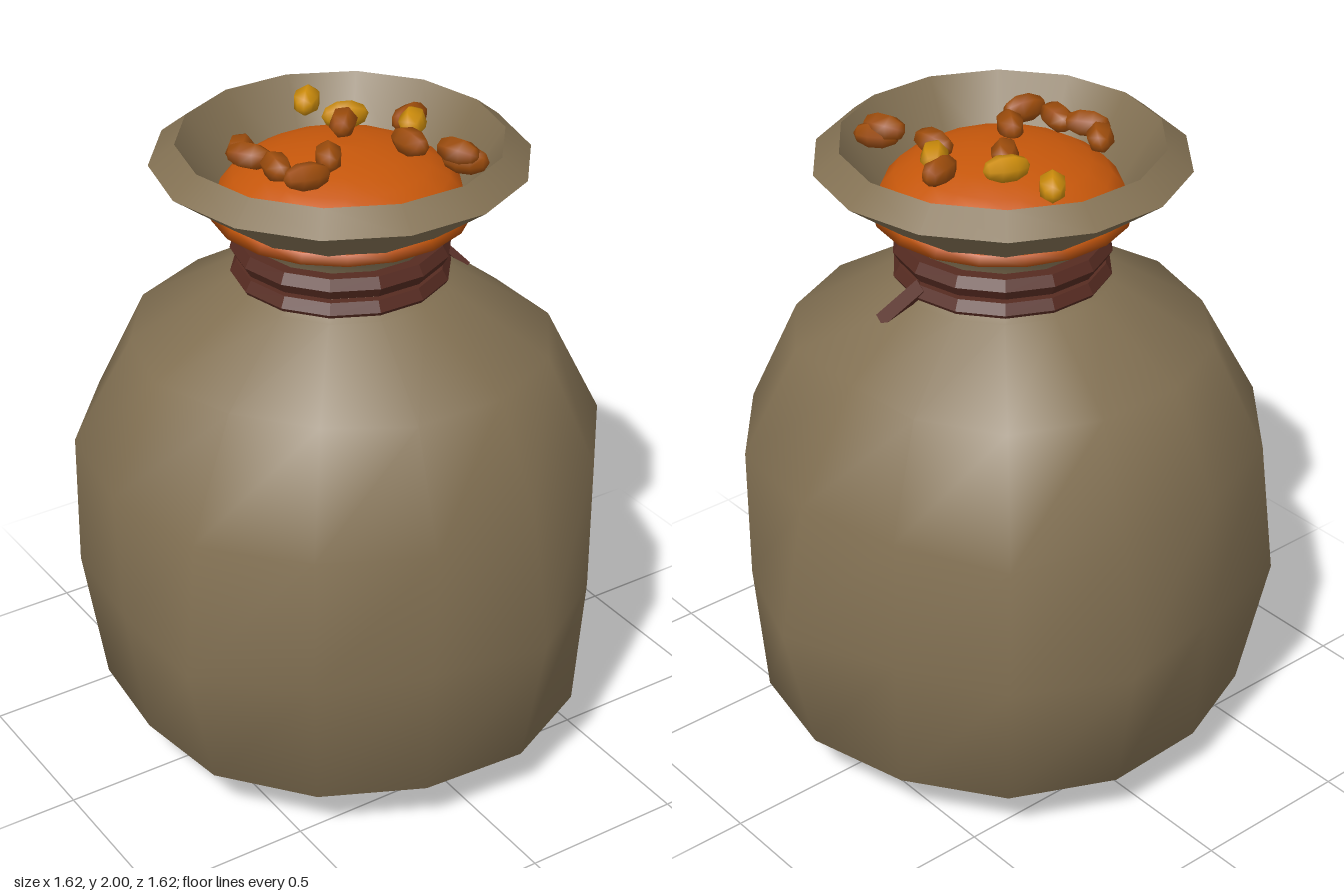
import * as THREE from 'three';

const SIDES = 14;
const AXIS_X = -0.028;

const mat = (name, color, extra = {}) => {
  const m = new THREE.MeshStandardMaterial({ color, ...extra });
  m.name = name;
  return m;
};

// Lumpy smooth sack body: each ring is a height and its radii around the axis
function sackGeometry() {
  const even = (r) => Array(SIDES).fill(r);
  const rings = [
    [0, even(0.507)],
    [0.17, [0.74, 0.75, 0.75, 0.75, 0.73, 0.73, 0.73, 0.7, 0.74, 0.75, 0.73, 0.745, 0.75, 0.73]],
    [0.6, [0.838, 0.785, 0.78, 0.83, 0.765, 0.793, 0.845, 0.765, 0.805, 0.838, 0.76, 0.83, 0.82, 0.75]],
    [1.02, [0.75, 0.785, 0.78, 0.765, 0.78, 0.77, 0.795, 0.782, 0.8, 0.79, 0.755, 0.75, 0.82, 0.74]],
    [1.35, [0.56, 0.62, 0.63, 0.625, 0.62, 0.6, 0.6, 0.63, 0.62, 0.63, 0.62, 0.615, 0.63, 0.6]],
    [1.53, even(0.33)],
    [1.6, even(0.27)],
  ];
  const pos = [], index = [];
  for (const [y, radii] of rings) {
    radii.forEach((r, i) => {
      const a = (i / SIDES) * Math.PI * 2;
      pos.push(Math.cos(a) * r, y, Math.sin(a) * r);
    });
  }
  for (let j = 0; j < rings.length - 1; j++) {
    for (let i = 0; i < SIDES; i++) {
      const n = (i + 1) % SIDES;
      const a = j * SIDES + i, b = j * SIDES + n;
      const c = a + SIDES, d = b + SIDES;
      index.push(a, c, b, b, c, d);
    }
  }
  // closed base
  const centre = pos.length / 3;
  pos.push(0, 0, 0);
  for (let i = 0; i < SIDES; i++) index.push(centre, i, (i + 1) % SIDES);
  const g = new THREE.BufferGeometry();
  g.setAttribute('position', new THREE.Float32BufferAttribute(pos, 3));
  g.setIndex(index);
  g.computeVertexNormals();
  return g;
}

const lathe = (points, sides = SIDES) =>
  new THREE.LatheGeometry(points.map(([x, y]) => new THREE.Vector2(x, y)), sides, Math.PI / 2);

export function createModel() {
  const group = new THREE.Group();
  group.name = 'grainSack';
  const cloth = mat('burlap', 0x837153, { side: THREE.DoubleSide });
  const rope = mat('rope brown', 0x562b21, { flatShading: true });
  const fill = mat('grain orange', 0xc6570b);
  const brown = mat('seed brown', 0x9c4c0c);
  const gold = mat('seed gold', 0xcc8c0c);

  const add = (name, geometry, material, x = 0, y = 0, z = 0) => {
    const m = new THREE.Mesh(geometry, material);
    m.name = name;
    m.position.set(x, y, z);
    group.add(m);
    return m;
  };

  add('sackBody', sackGeometry(), cloth, AXIS_X);

  // Flared mouth: outside, bevelled lip and inside
  add('mouthOutside', lathe([[0.26, 1.55], [0.25, 1.66], [0.36, 1.76], [0.548, 1.9]]), cloth, AXIS_X);
  add('mouthLip', lathe([[0.548, 1.9], [0.472, 1.96]]), cloth, AXIS_X);
  add('mouthInside', lathe([[0.472, 1.96], [0.335, 1.75]]), cloth, AXIS_X);

  // Domed grain filling, its edge showing through the cloth
  const dome = [];
  for (let i = 0; i <= 6; i++) {
    const a = (i / 6) * Math.PI / 2;
    dome.push([Math.max(0.362 * Math.cos(a), 0.0001), 1.765 + 0.168 * Math.sin(a)]);
  }
  add('grainMound', lathe(dome, 18), fill, AXIS_X);
  add('grainEdge', lathe([[0.25, 1.735], [0.38, 1.738], [0.362, 1.765]], 18), fill, AXIS_X);

  // Two turns of rope and a loose end
  for (const y of [1.63, 1.555]) {
    const turn = new THREE.TorusGeometry(0.288, 0.036, 6, SIDES);
    turn.rotateX(Math.PI / 2);
    add('ropeTurn', turn, rope, AXIS_X, y);
  }
  const start = new THREE.Vector3(0.27, 1.58, 0.0);
  const end = new THREE.Vector3(0.365, 1.47, 0.07);
  const dir = end.clone().sub(start);
  const tail = add('ropeTail', new THREE.BoxGeometry(0.022, dir.length(), 0.045), rope);
  tail.position.copy(start).add(end).multiplyScalar(0.5);
  tail.quaternion.setFromUnitVectors(new THREE.Vector3(0, -1, 0), dir.normalize());

  // Seeds: [x, y, z, heading in degrees, gold?]
  const seedShape = new THREE.SphereGeometry(1, 6, 5);
  seedShape.rotateZ(Math.PI / 2);
  seedShape.scale(0.07, 0.042, 0.042);
  const seeds = [
    [0.05, 1.94, -0.305, 50, 1], [0.08, 1.945, -0.145, -20, 1], [0.035, 1.955, -0.085, 50, 0],
    [0.23, 1.943, -0.035, 20, 0], [0.2, 1.957, 0.025, 50, 1], [0.13, 1.946, 0.115, -85, 0],
    [0.19, 1.959, 0.265, -70, 0], [0.205, 1.935, 0.28, -50, 0], [-0.28, 1.93, -0.135, 50, 0],
    [-0.295, 1.942, -0.06, -55, 0], [-0.265, 1.938, 0.035, 80, 0], [-0.23, 1.94, 0.14, -10, 0],
    [-0.115, 1.945, 0.07, 60, 0],
  ];
  seeds.forEach(([x, y, z, deg, isGold], i) => {
    const s = add('seed', seedShape, isGold ? gold : brown, x, y, z);
    s.rotation.set(i * 0.7, THREE.MathUtils.degToRad(deg), 0, 'YXZ');
  });
  return group;
}
